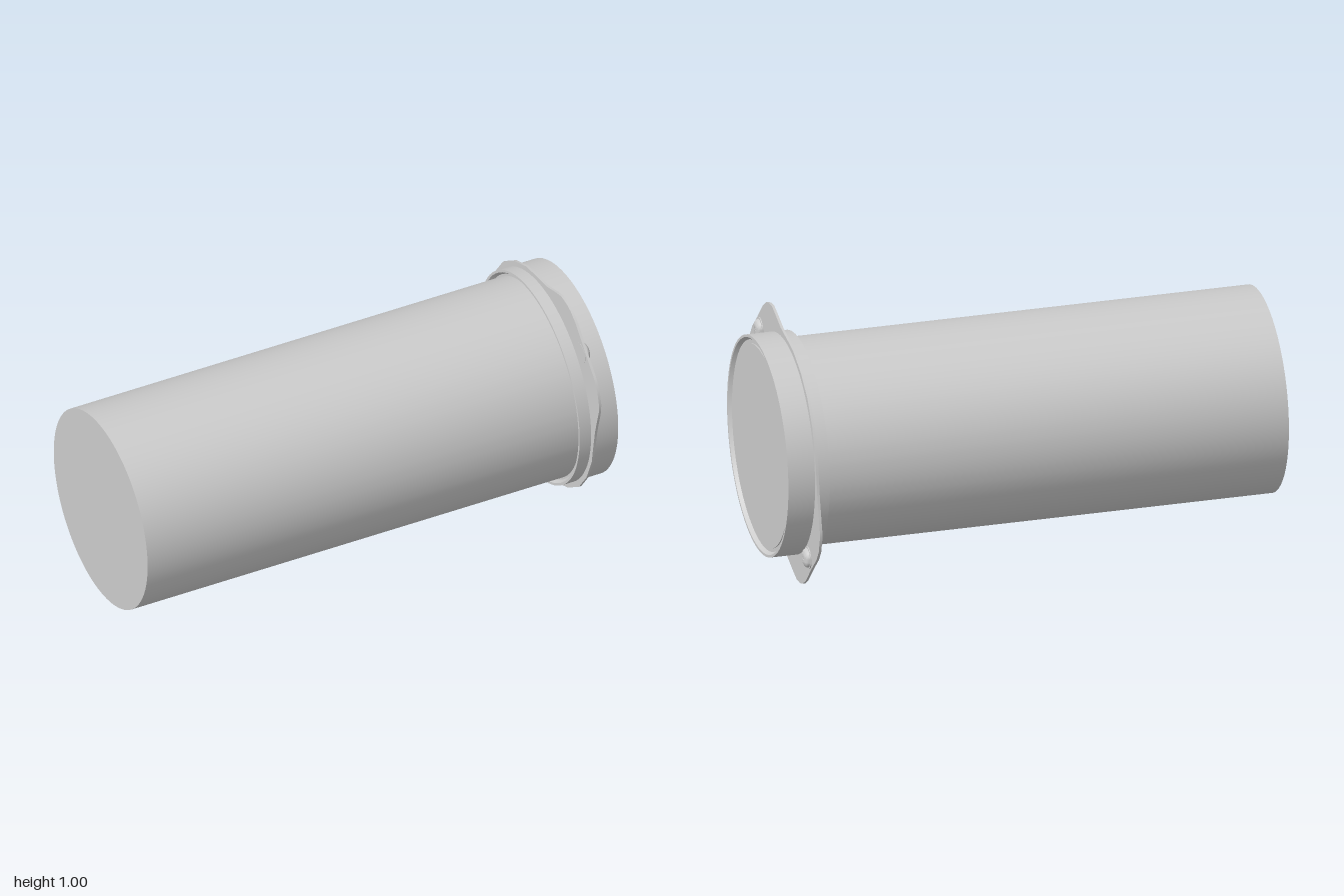
import * as THREE from 'three';
import { toCreasedNormals } from 'three/addons/utils/BufferGeometryUtils.js';

const material = new THREE.MeshStandardMaterial({ color: 0xcccccc, side: THREE.DoubleSide });

// Revolve [radius, height] points around the local z axis
function turned(name, points, segments) {
  const lathe = new THREE.LatheGeometry(points.map(([r, h]) => new THREE.Vector2(r, h)), segments);
  lathe.rotateX(Math.PI / 2);
  const mesh = new THREE.Mesh(toCreasedNormals(lathe, 0.5), material);
  mesh.name = name;
  return mesh;
}

function plate(name, shape, depth, z) {
  const geometry = new THREE.ExtrudeGeometry(shape, { depth, bevelEnabled: false });
  const mesh = new THREE.Mesh(toCreasedNormals(geometry, 0.5), material);
  mesh.name = name;
  mesh.position.z = z;
  return mesh;
}

// Domed screw with a washer rim and a small cross recess
function createScrew() {
  const screw = new THREE.Group();
  screw.name = 'screw';
  screw.add(turned('screwHead', [
    [0, -0.012], [0.044, -0.012], [0.044, 0.003], [0.038, 0.003], [0.037, 0.008],
    [0.033, 0.014], [0.026, 0.018], [0.017, 0.0205]], 32));
  const top = new THREE.Shape().absarc(0, 0, 0.017, 0, Math.PI * 2, false);
  const a = 0.003, b = 0.012;
  top.holes.push(new THREE.Path([
    [a, a], [a, b], [-a, b], [-a, a], [-b, a], [-b, -a],
    [-a, -a], [-a, -b], [a, -b], [a, -a], [b, -a], [b, a],
  ].map(([x, y]) => new THREE.Vector2(x, y))));
  screw.add(plate('screwTop', top, 0.006, 0.0145));
  const floor = new THREE.Mesh(new THREE.CircleGeometry(0.017, 24), material);
  floor.name = 'recessFloor';
  floor.position.z = 0.0145;
  screw.add(floor);
  return screw;
}

export function createModel() {
  const model = new THREE.Group();
  model.name = 'flangedCylinder';

  // Local z becomes the long axis, pointing to +x
  const body = new THREE.Group();
  body.name = 'body';
  body.rotation.y = Math.PI / 2;
  body.position.y = 0.5;
  model.add(body);

  // Long barrel with a shallow step around its front cap
  body.add(turned('barrel', [
    [0, -1], [0.402, -1], [0.402, 0.985], [0.396, 0.985], [0.396, 0.99], [0, 0.99]], 96));

  // Collar with stepped lips at both ends
  body.add(turned('collar', [
    [0.4, 0.85], [0.41, 0.85], [0.42, 0.835], [0.43, 0.835],
    [0.43, 1], [0.42, 1], [0.41, 0.985], [0.4, 0.985]], 96));

  // Thin mounting flange: half an outline, repeated by a half turn
  const half = [
    [-0.456, 0], [-0.463, 0.04], [-0.482, 0.11], [-0.496, 0.16], [-0.497, 0.195], [-0.482, 0.253],
    [-0.45, 0.3], [-0.38, 0.367], [-0.3, 0.45], [-0.255, 0.481], [-0.22, 0.493], [-0.175, 0.498],
    [-0.13, 0.486], [-0.05, 0.46], [0, 0.453], [0.05, 0.447], [0.13, 0.433], [0.23, 0.39],
    [0.325, 0.32], [0.39, 0.23], [0.435, 0.125], [0.447, 0.05],
  ];
  const outline = [...half, ...half.map(([x, y]) => [-x, -y])];
  const flange = new THREE.Shape(outline.map(([x, y]) => new THREE.Vector2(x, y)));
  flange.holes.push(new THREE.Path().absarc(0, 0, 0.425, 0, Math.PI * 2, true));
  body.add(plate('flange', flange, 0.01, 0.884));

  // Screws in opposite ears
  for (const side of [-1, 1]) {
    const screw = createScrew();
    screw.position.set(side * 0.337, -side * 0.337, 0.895);
    body.add(screw);
  }
  return model;
}
